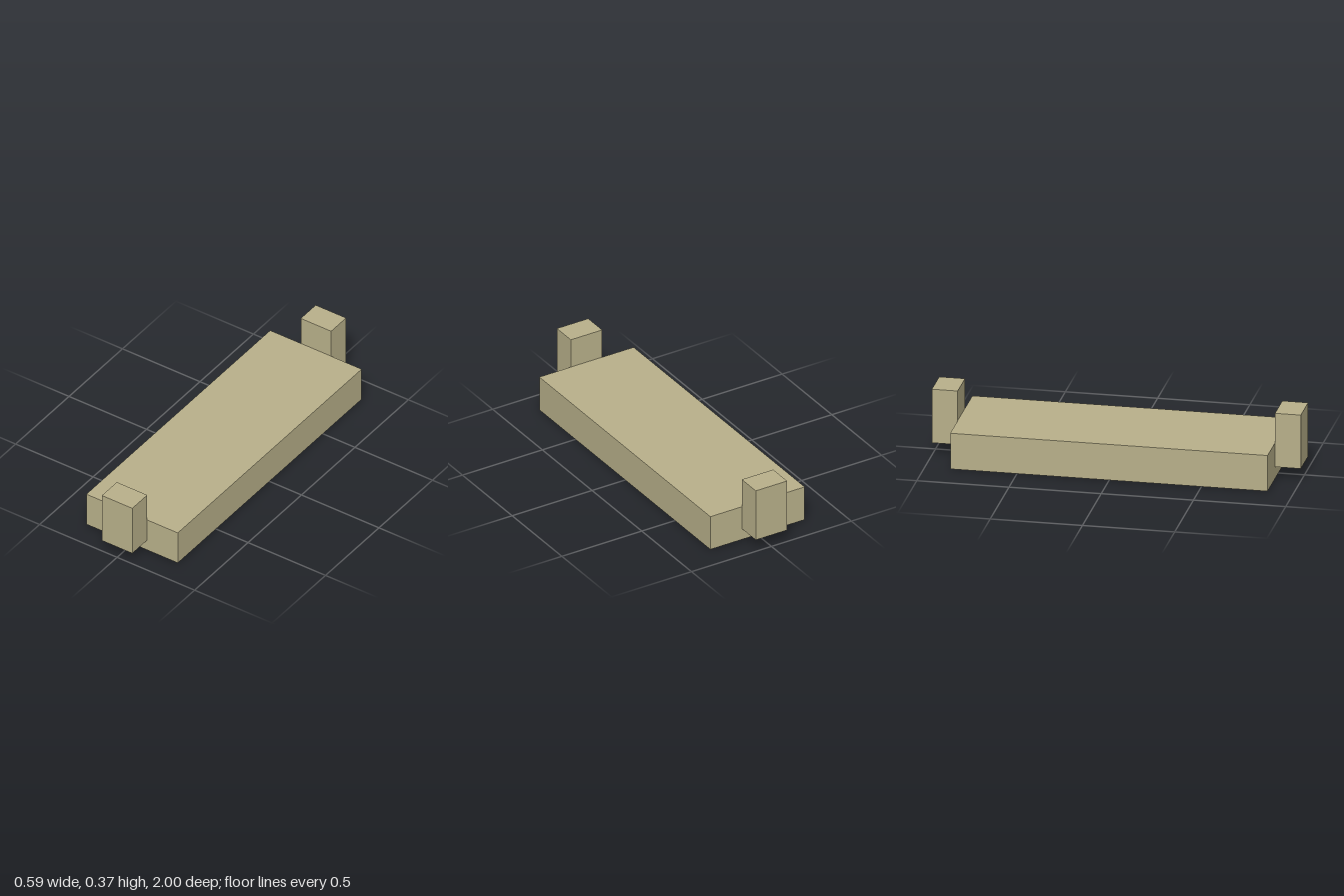
import * as THREE from 'three';

const bodyMaterial = new THREE.MeshStandardMaterial({ color: 0xb8b08a, flatShading: true });
const padMaterial = new THREE.MeshStandardMaterial({ color: 0xb8922e, flatShading: true });

const HALF_X = 0.295, HALF_Z = 0.86;      // body footprint
const BOTTOM = 0.003, FLOOR = 0.06, TOP = 0.205;
const RIM = 0.053;                        // rim width around the underside recess

function addMesh(parent, name, geometry, material, x, y, z) {
  const mesh = new THREE.Mesh(geometry, material);
  mesh.name = name;
  mesh.position.set(x, y, z);
  parent.add(mesh);
  return mesh;
}

// Corners of a rectangle centred on the origin
function rectangle(hx, hz) {
  return [[-hx, -hz], [hx, -hz], [hx, hz], [-hx, hz]].map(([x, z]) => new THREE.Vector2(x, z));
}

// Box whose lower face is inset on all sides
function taperedBox(width, height, depth, inset) {
  const geometry = new THREE.BoxGeometry(width, height, depth);
  const p = geometry.attributes.position;
  for (let i = 0; i < p.count; i++) {
    if (p.getY(i) > 0) continue;
    p.setX(i, p.getX(i) - Math.sign(p.getX(i)) * inset);
    p.setZ(i, p.getZ(i) - Math.sign(p.getZ(i)) * inset);
  }
  geometry.computeVertexNormals();
  return geometry;
}

export function createModel() {
  const model = new THREE.Group();
  model.name = 'slab';

  // Solid upper body
  addMesh(model, 'bodySlab', new THREE.BoxGeometry(HALF_X * 2, TOP - FLOOR, HALF_Z * 2),
    bodyMaterial, 0, (TOP + FLOOR) / 2, 0);

  // Rim that frames the recess underneath
  const frame = new THREE.Shape(rectangle(HALF_X, HALF_Z));
  frame.holes.push(new THREE.Path(rectangle(HALF_X - RIM, HALF_Z - RIM).reverse()));
  const rim = new THREE.ExtrudeGeometry(frame, { depth: FLOOR - BOTTOM, bevelEnabled: false });
  rim.rotateX(-Math.PI / 2);
  addMesh(model, 'bottomRim', rim, bodyMaterial, 0, BOTTOM, 0);

  for (const side of [1, -1]) {
    const end = side > 0 ? 'front' : 'back';
    // Upright post at each end
    addMesh(model, end + 'Post', new THREE.BoxGeometry(0.196, 0.303, 0.14),
      bodyMaterial, 0, 0.2215, side * 0.93);
    // Tapered pad hanging from the recess floor
    addMesh(model, end + 'Pad', taperedBox(0.39, FLOOR, 0.668, 0.028),
      padMaterial, 0, FLOOR / 2, side * 0.425);
  }
  return model;
}
